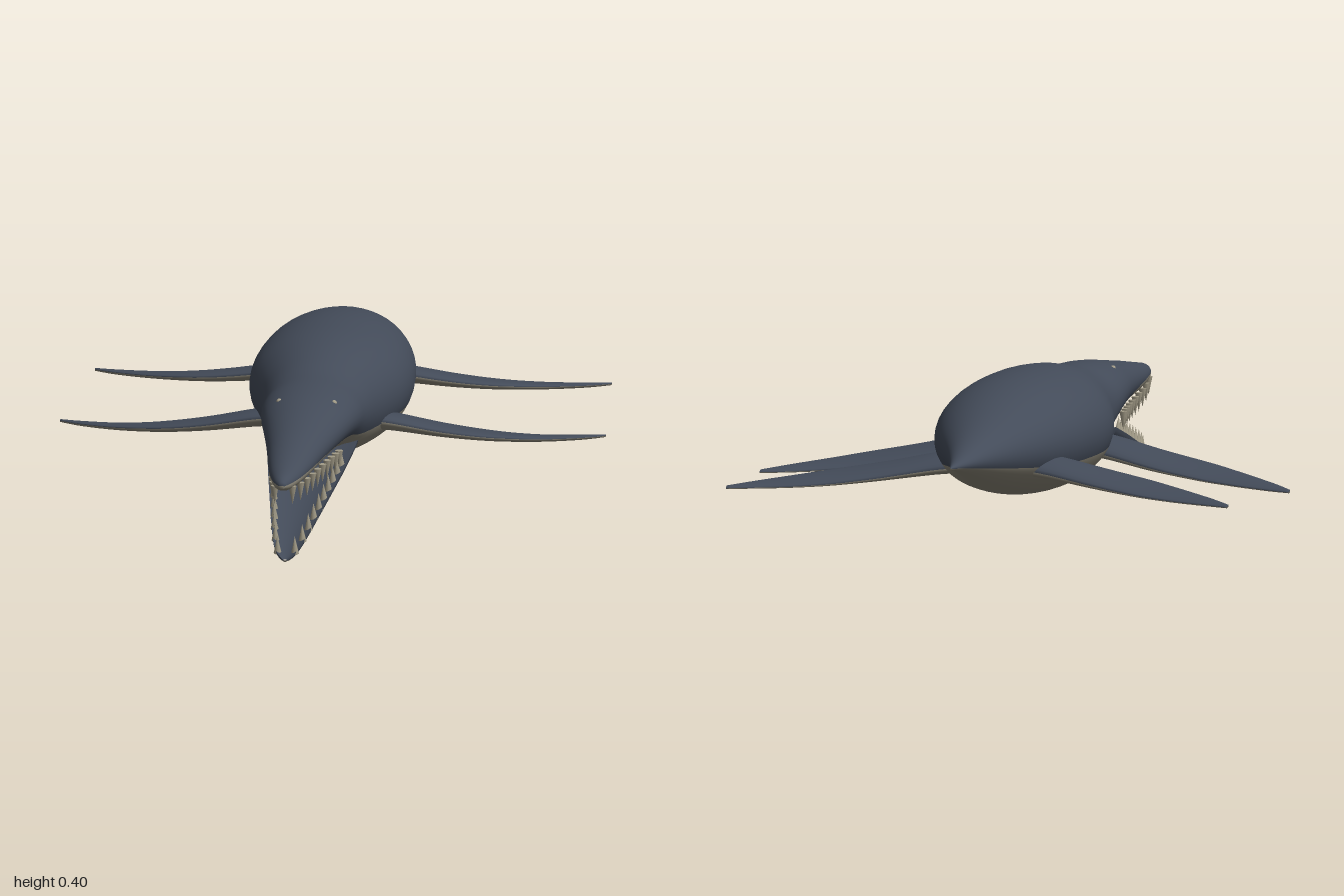
import * as THREE from 'three';

const mat = (name, color) => {
  const m = new THREE.MeshStandardMaterial({ color });
  m.name = name;
  return m;
};

// Smoothly resample a table of stations, column by column
function resample(rows, count) {
  const splines = rows[0].map((_, c) => new THREE.SplineCurve(rows.map((r, i) => new THREE.Vector2(i, r[c]))));
  return Array.from({ length: count + 1 }, (_, i) => splines.map(s => s.getPoint(i / count).y));
}

// Skin a list of rings; isTop(column) picks the first material, the rest use the second
function loft(rings, closed, isTop = () => true) {
  const n = rings[0].length, cols = closed ? n : n - 1, parts = [[], []];
  for (let i = 0; i < rings.length - 1; i++) {
    for (let j = 0; j < cols; j++) {
      const a = i * n + j, b = i * n + (j + 1) % n;
      parts[isTop(j) ? 0 : 1].push(a, b, a + n, b, b + n, a + n);
    }
  }
  const g = new THREE.BufferGeometry();
  g.setAttribute('position', new THREE.Float32BufferAttribute(rings.flat(2), 3));
  g.setIndex([...parts[0], ...parts[1]]);
  g.addGroup(0, parts[0].length, 0);
  g.addGroup(parts[0].length, parts[1].length, 1);
  g.computeVertexNormals();
  return g;
}

// Ring collapsed to its centre, used to close an end
const collapse = ring => {
  const c = [0, 1, 2].map(k => ring.reduce((s, p) => s + p[k], 0) / ring.length);
  return ring.map(() => c);
};

// Body stations: z, top, bottom, half width, height of the colour line
const BODY = [
  [-1, 0.237, 0.231, 0.003, 0.234], [-0.9, 0.255, 0.21, 0.031, 0.222], [-0.8, 0.283, 0.183, 0.066, 0.21],
  [-0.7, 0.315, 0.153, 0.107, 0.198], [-0.6, 0.348, 0.124, 0.15, 0.188], [-0.5, 0.375, 0.1, 0.185, 0.182],
  [-0.4, 0.393, 0.081, 0.21, 0.18], [-0.3, 0.402, 0.07, 0.222, 0.18], [-0.2, 0.404, 0.066, 0.225, 0.18],
  [-0.1, 0.402, 0.07, 0.215, 0.18], [0, 0.393, 0.08, 0.19, 0.18], [0.1, 0.377, 0.1, 0.162, 0.18],
  [0.2, 0.36, 0.133, 0.145, 0.19], [0.3, 0.354, 0.17, 0.138, 0.212], [0.4, 0.346, 0.188, 0.125, 0.226],
  [0.5, 0.333, 0.192, 0.107, 0.232], [0.6, 0.318, 0.195, 0.09, 0.236], [0.7, 0.304, 0.197, 0.075, 0.238],
  [0.8, 0.288, 0.201, 0.061, 0.24], [0.9, 0.272, 0.208, 0.044, 0.24], [0.97, 0.26, 0.216, 0.027, 0.24],
  [1, 0.244, 0.228, 0.008, 0.236],
];
// Lower jaw stations: z, top, bottom, half width
const JAW = [
  [0.25, 0.185, 0.12, 0.125], [0.4, 0.15, 0.088, 0.108], [0.6, 0.104, 0.048, 0.08],
  [0.8, 0.056, 0.012, 0.05], [0.89, 0.03, 0.002, 0.031], [0.925, 0.013, 0.003, 0.01],
];
// Flipper stations: x, leading z, trailing z, y, half thickness
const FRONT_FLIPPER = [
  [0.13, 0.045, -0.1, 0.178, 0.028], [0.2, 0.038, -0.11, 0.168, 0.025], [0.33, 0.018, -0.14, 0.142, 0.019],
  [0.46, -0.016, -0.165, 0.122, 0.014], [0.58, -0.08, -0.19, 0.108, 0.01], [0.69, -0.162, -0.222, 0.099, 0.007],
  [0.755, -0.225, -0.244, 0.095, 0.004],
];
const REAR_FLIPPER = [
  [0.08, -0.455, -0.59, 0.19, 0.028], [0.17, -0.468, -0.605, 0.18, 0.025], [0.3, -0.487, -0.635, 0.159, 0.019],
  [0.42, -0.52, -0.664, 0.143, 0.014], [0.54, -0.583, -0.692, 0.131, 0.01], [0.65, -0.66, -0.717, 0.123, 0.007],
  [0.715, -0.717, -0.738, 0.119, 0.004],
];

// Width and height of a table at a given z
function stationAt(rows, z) {
  let i = 0;
  while (i < rows.length - 2 && rows[i + 1][0] < z) i++;
  const t = (z - rows[i][0]) / (rows[i + 1][0] - rows[i][0]);
  return rows[i].map((v, c) => v + (rows[i + 1][c] - v) * t);
}

export function createModel() {
  const model = new THREE.Group();
  model.name = 'marineReptile';
  const slate = mat('slate back', 0x434b59);
  const pale = mat('pale belly', 0x8f8a7b);
  const bone = mat('tooth bone', 0xa39c88);
  const add = (name, geometry, material, parent = model) => {
    const m = new THREE.Mesh(geometry, material);
    m.name = name;
    parent.add(m);
    return m;
  };

  // Body, neck and upper jaw in one smooth skin with a countershaded underside
  const UP = 28, DOWN = 20;
  const bodyRings = resample(BODY, 84).map(([z, top, bottom, w, line]) => {
    const mid = (top + bottom) / 2, h = (top - bottom) / 2;
    const a0 = Math.asin(THREE.MathUtils.clamp((line - mid) / h, -0.9, 0.9));
    return Array.from({ length: UP + DOWN }, (_, j) => {
      const a = j < UP ? a0 + (Math.PI - 2 * a0) * j / UP
        : Math.PI - a0 + (Math.PI + 2 * a0) * (j - UP) / DOWN;
      return [w * Math.cos(a), mid + h * Math.sin(a), z];
    });
  });
  const closedBody = [collapse(bodyRings[0]), ...bodyRings, collapse(bodyRings.at(-1))];
  add('body', loft(closedBody, true, j => j < UP), [slate, pale]);

  // Lower jaw: rounded outside and a shallow trough inside
  const jaw = new THREE.Group();
  jaw.name = 'lowerJaw';
  model.add(jaw);
  const jawRows = resample(JAW, 30), N = 24;
  const outer = jawRows.map(([z, top, bottom, w]) => Array.from({ length: N + 1 }, (_, j) => {
    const a = Math.PI * (1 + j / N);
    return [w * Math.cos(a), top + (top - bottom) * Math.sin(a), z];
  }));
  add('jawShell', loft([collapse(outer[0]), ...outer, collapse(outer.at(-1))], false,
    j => j < 5 || j >= N - 5), [slate, pale], jaw);
  const trough = jawRows.map(([z, top, bottom, w]) => Array.from({ length: 13 }, (_, j) => {
    const u = 1 - j / 6;
    return [w * u, top - (top - bottom) * 0.35 * (1 - u * u), z];
  }));
  add('mouthFloor', loft(trough, false), [slate, slate], jaw);

  // Flippers: tapered lens sections, dark above and pale below
  const flipper = (rows, side) => {
    const M = 20;
    const rings = resample(rows, 24).map(([x, lead, trail, y, t]) => Array.from({ length: M }, (_, j) => {
      const a = -Math.PI / 2 + 2 * Math.PI * j / M;
      const tilt = 0.012 * Math.sin(a) * Math.min(1, (lead - trail) / 0.14);
      return [side * x, y + t * Math.cos(a) + tilt, (lead + trail) / 2 + (lead - trail) / 2 * Math.sin(a)];
    }));
    rings.push(collapse(rings.at(-1)));
    if (side < 0) rings.reverse();
    return loft(rings, true, j => j < M / 2);
  };

  // Teeth: rows of cones along both jaws
  const teeth = new THREE.Group();
  teeth.name = 'teeth';
  model.add(teeth);
  const tooth = new THREE.ConeGeometry(0.011, 0.052, 8);

  for (const side of [1, -1]) {
    const label = side > 0 ? 'left' : 'right';
    add(label + 'FrontFlipper', flipper(FRONT_FLIPPER, side), [slate, pale]);
    add(label + 'RearFlipper', flipper(REAR_FLIPPER, side), [slate, pale]);

    for (let i = 0; i < 10; i++) {
      const zu = 0.955 - 0.078 * i + 0.0023 * i * i;
      const [, , low, wu] = stationAt(BODY, zu);
      const upper = add(label + 'UpperTooth', tooth, bone, teeth);
      upper.position.set(side * wu * 0.8, low - 0.014, zu);
      upper.rotation.x = Math.PI;

      const zl = 0.895 - 0.065 * i + 0.001 * i * i;
      const [, top, , wl] = stationAt(JAW, zl);
      const lower = add(label + 'LowerTooth', tooth, bone, teeth);
      lower.position.set(side * wl * 0.86, top + 0.017, zl);
      lower.rotation.x = 0.2;
    }

    // Small eye set high on the head
    const eye = add(label + 'Eye', new THREE.SphereGeometry(0.008, 12, 8), bone);
    eye.position.set(side * 0.076, 0.326, 0.4);
  }
  return model;
}
